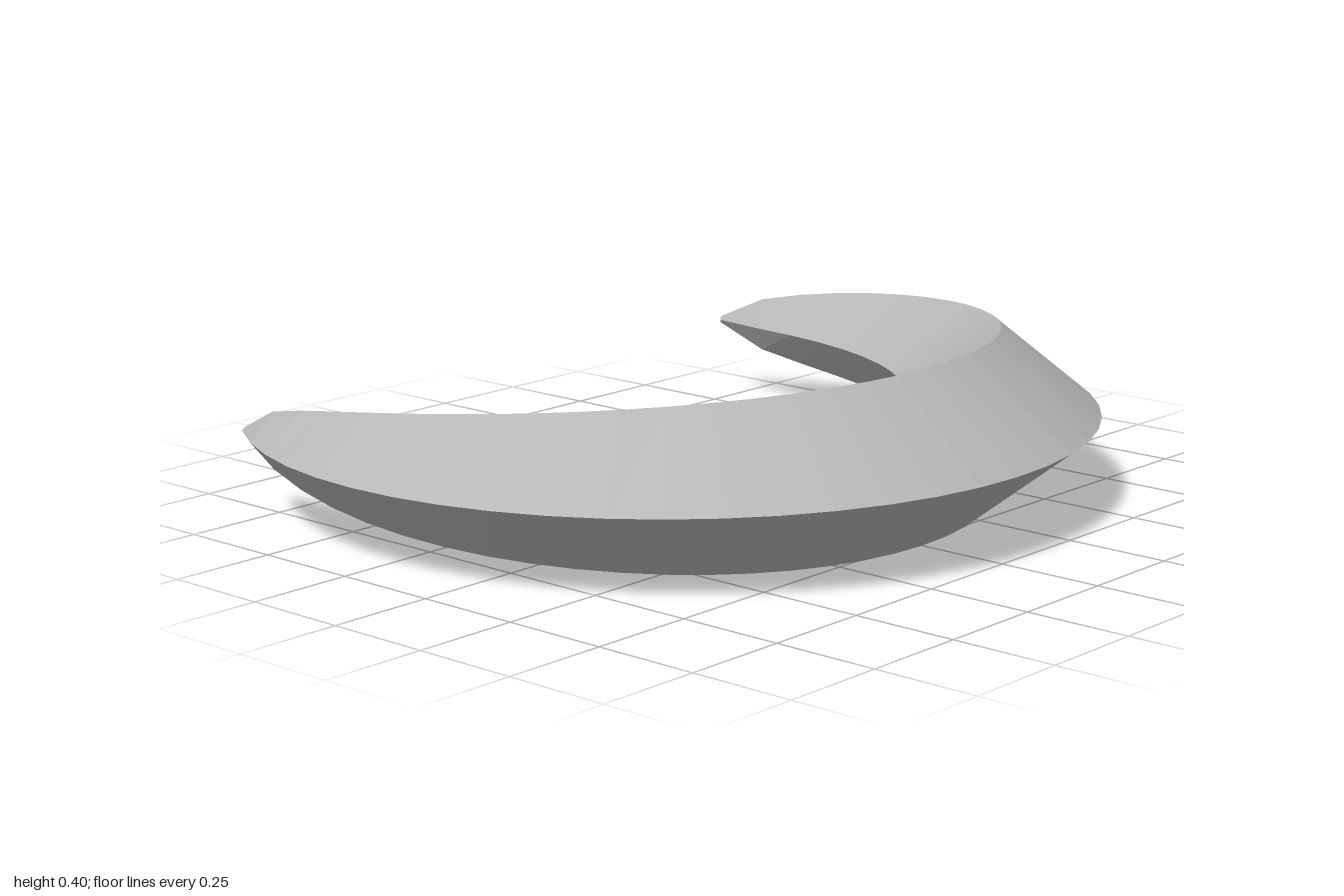
import * as THREE from 'three';

const STEPS = 36;                             // segments along the arc
const SWEEP = THREE.MathUtils.degToRad(125);  // half angle from the front to a tip
const CENTER_Z = -0.215;
const MID_Y = 0.2;

// Diamond section: outer edge, top ridge, inner edge, bottom ridge
function section(i) {
  const t = (2 * i) / STEPS - 1;
  const taper = Math.max(Math.cos((t * Math.PI) / 2), 0);
  const width = Math.max(0.51 * taper ** 0.65, 0.015);
  const height = Math.max(0.2 * taper ** 0.45, 0.008);
  const point = (r, y) => [r * Math.sin(t * SWEEP), MID_Y + y, CENTER_Z + r * Math.cos(t * SWEEP)];
  return [point(1, 0), point(1 - width / 2, height), point(1 - width, 0), point(1 - width / 2, -height)];
}

function crescentGeometry() {
  const positions = [];
  const indices = [];
  for (let i = 0; i <= STEPS; i++) positions.push(...section(i).flat());
  for (let i = 0; i < STEPS; i++) {
    for (let k = 0; k < 4; k++) {
      const a = i * 4 + k, d = i * 4 + ((k + 1) % 4);
      const b = a + 4, c = d + 4;
      indices.push(a, b, c, a, c, d);
    }
  }
  // Blunt tip caps
  const e = STEPS * 4;
  indices.push(0, 1, 2, 0, 2, 3, e, e + 2, e + 1, e, e + 3, e + 2);

  const indexed = new THREE.BufferGeometry();
  indexed.setAttribute('position', new THREE.Float32BufferAttribute(positions, 3));
  indexed.setIndex(indices);
  // Separate faces keep every facet crisp
  const geometry = indexed.toNonIndexed();
  geometry.computeVertexNormals();
  return geometry;
}

export function createModel() {
  const group = new THREE.Group();
  group.name = 'crescent';

  const grey = new THREE.MeshStandardMaterial({ color: 0xb8b8b8 });
  grey.name = 'grey';

  // Crescent blade, tapering to a point at both ends
  const blade = new THREE.Mesh(crescentGeometry(), grey);
  blade.name = 'crescentBlade';
  group.add(blade);

  return group;
}
